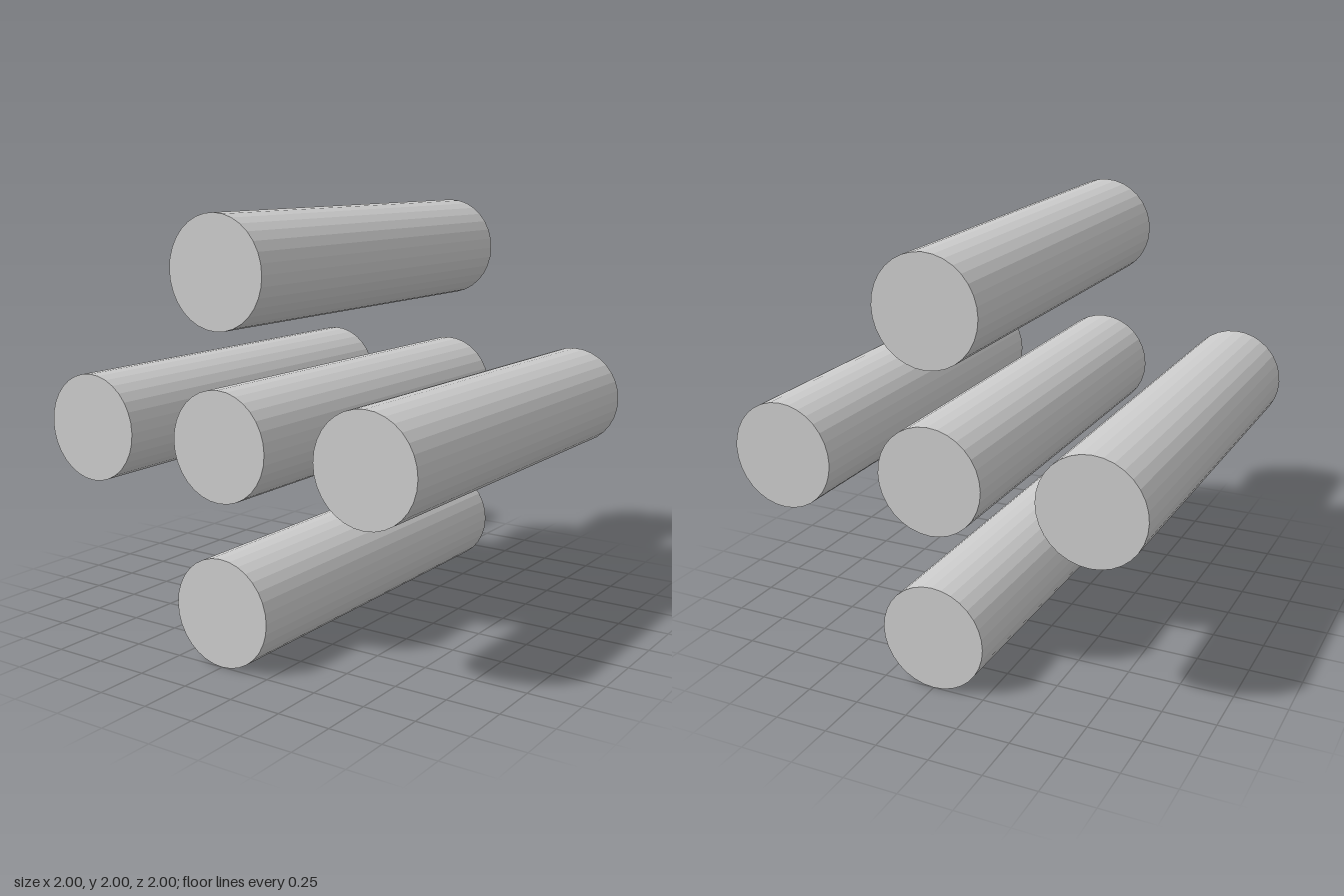
import * as THREE from 'three';

const RADIUS = 0.25;
const LENGTH = 2;
const SPACING = 0.75;

export function createModel() {
  const model = new THREE.Group();
  model.name = 'rodCross';
  const material = new THREE.MeshStandardMaterial({ color: 0xcccccc, flatShading: true });

  // One faceted rod lying along z, shared by all five
  const rod = new THREE.CylinderGeometry(RADIUS, RADIUS, LENGTH, 32).rotateX(Math.PI / 2);

  // Grid steps from the centre rod, in a plus pattern
  const layout = {
    centreRod: [0, 0],
    leftRod: [1, 0],
    rightRod: [-1, 0],
    topRod: [0, 1],
    bottomRod: [0, -1],
  };
  for (const [name, [column, row]] of Object.entries(layout)) {
    const mesh = new THREE.Mesh(rod, material);
    mesh.name = name;
    mesh.position.set(column * SPACING, 1 + row * SPACING, 0);
    model.add(mesh);
  }
  return model;
}
